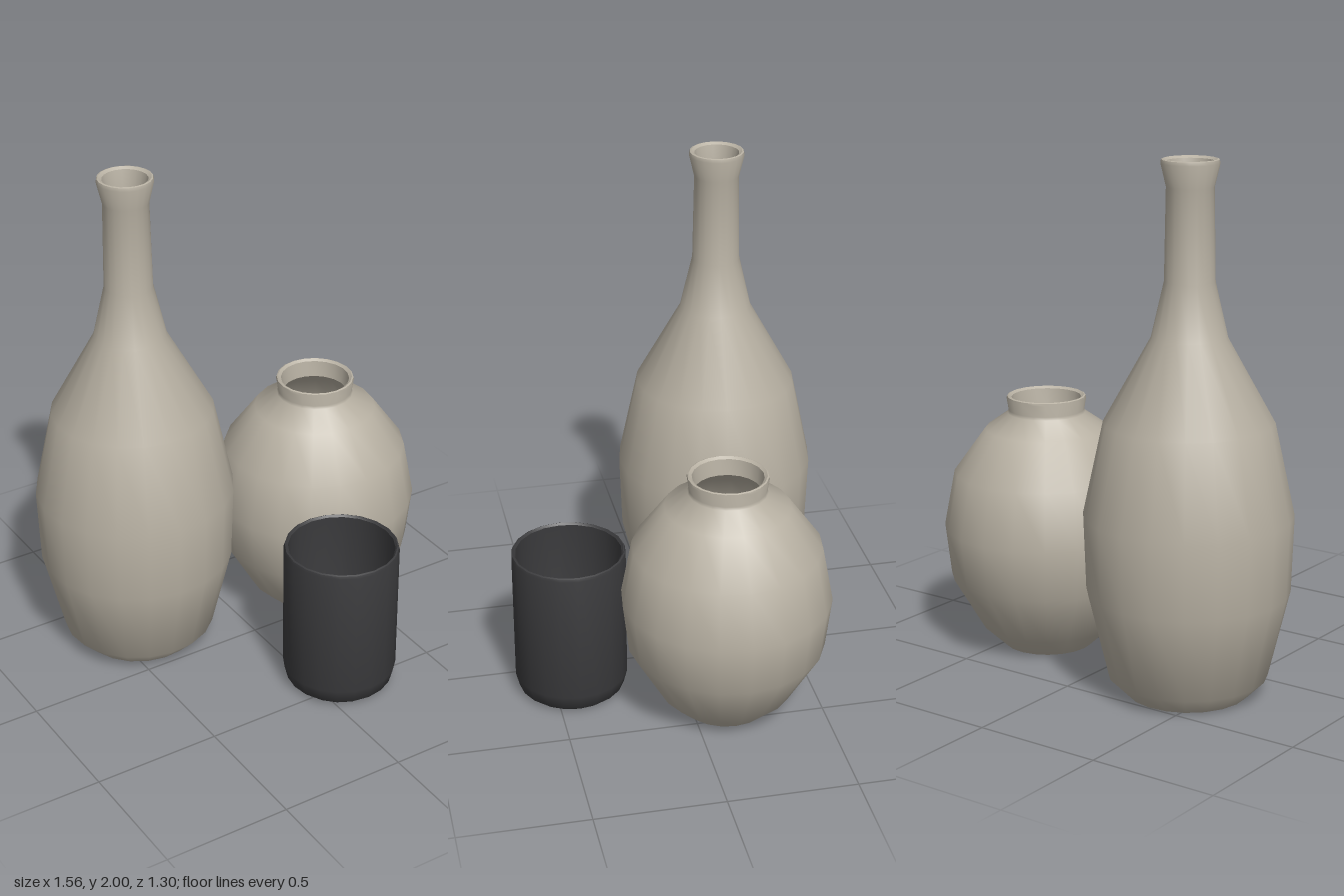
import * as THREE from 'three';
import { toCreasedNormals } from 'three/addons/utils/BufferGeometryUtils.js';

const SIDES = 20;

// Hollow vessel: the profile runs from the base centre up the outside,
// over the lip and down the inside to the inner floor.
function vessel(name, color, profile, x, z, phase) {
  const points = profile.map(([r, y]) => new THREE.Vector2(r, y));
  const lathe = new THREE.LatheGeometry(points, SIDES, THREE.MathUtils.degToRad(phase));
  const mesh = new THREE.Mesh(
    toCreasedNormals(lathe, 0.7),
    new THREE.MeshStandardMaterial({ color })
  );
  mesh.name = name;
  mesh.position.set(x, 0, z);
  return mesh;
}

export function createModel() {
  const group = new THREE.Group();
  group.name = 'vesselSet';
  const clay = 0xb8b1a3, charcoal = 0x3a3a3c;

  // Tall bottle with a narrow neck and flared lip
  group.add(vessel('tallBottle', clay, [
    [0, 0], [0.23, 0], [0.3, 0.07], [0.38, 0.4], [0.39, 0.69], [0.315, 1.04],
    [0.14, 1.355], [0.093, 1.56], [0.087, 1.9], [0.107, 1.985], [0.104, 1.998],
    [0.098, 2], [0.086, 1.992], [0.068, 1.9], [0.073, 1.56], [0.12, 1.36],
    [0.293, 1.03], [0.368, 0.69], [0.358, 0.4], [0.285, 0.09], [0.22, 0.025], [0, 0.025]
  ], -0.39, -0.265, -3.5));

  // Round vase with a short collar
  group.add(vessel('roundVase', clay, [
    [0, 0], [0.175, 0], [0.26, 0.08], [0.382, 0.29], [0.405, 0.49], [0.363, 0.71],
    [0.24, 0.88], [0.152, 0.943], [0.148, 0.955], [0.155, 1.0], [0.153, 1.009],
    [0.147, 1.012], [0.136, 1.004], [0.128, 0.94], [0.225, 0.865], [0.342, 0.7],
    [0.384, 0.49], [0.362, 0.3], [0.25, 0.1], [0.165, 0.025], [0, 0.025]
  ], 0.372, -0.14, 1));

  // Dark cup with a rounded foot and thin rim
  group.add(vessel('cup', charcoal, [
    [0, 0], [0.185, 0], [0.208, 0.02], [0.222, 0.075], [0.222, 0.6], [0.219, 0.61],
    [0.213, 0.613], [0.206, 0.605], [0.204, 0.08], [0.19, 0.035], [0.175, 0.022], [0, 0.022]
  ], 0.122, 0.427, 0));

  return group;
}
